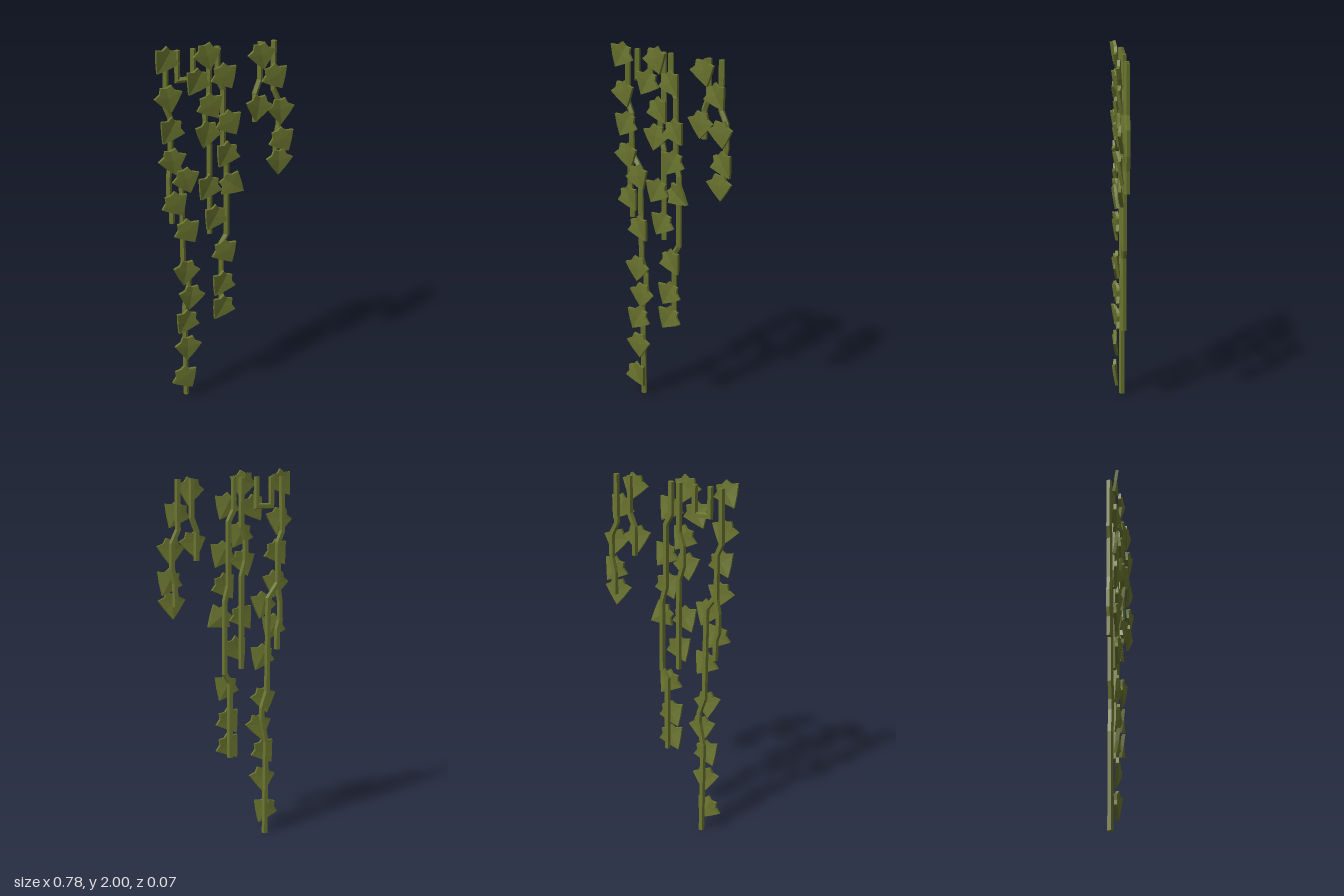
import * as THREE from 'three';

const vine = new THREE.MeshStandardMaterial({ color: 0x6b752f, flatShading: true });
vine.name = 'olive green';

function makeGeometry(pos, index) {
  const g = new THREE.BufferGeometry();
  g.setAttribute('position', new THREE.Float32BufferAttribute(pos, 3));
  g.setIndex(index);
  const flat = g.toNonIndexed();
  flat.computeVertexNormals();
  return flat;
}

// Five-sided stem with mitred corners, following [x, y] points
function stemGeometry(points) {
  const R = 0.0165, Z = -0.0265, N = 5, pos = [], idx = [];
  const p = points.map(([x, y]) => new THREE.Vector2(x, y));
  p.forEach((c, i) => {
    const a = p[Math.max(i - 1, 0)], b = p[Math.min(i + 1, p.length - 1)];
    const d1 = (i ? c.clone().sub(a) : b.clone().sub(c)).normalize();
    const d2 = (i < p.length - 1 ? b.clone().sub(c) : d1.clone()).normalize();
    const t = d1.clone().add(d2).normalize();
    const k = R / Math.max(t.dot(d1), 0.5);
    for (let j = 0; j < N; j++) {
      const q = Math.PI / 2 + (j / N) * Math.PI * 2;
      // side vector is the tangent turned a quarter in the xy plane
      pos.push(c.x - t.y * k * Math.cos(q), c.y + t.x * k * Math.cos(q), Z + R * Math.sin(q));
    }
  });
  for (let i = 0; i < p.length - 1; i++) {
    for (let j = 0; j < N; j++) {
      const a = i * N + j, b = i * N + (j + 1) % N;
      idx.push(a, b, a + N, b, b + N, a + N);
    }
  }
  // end caps
  const e = (p.length - 1) * N;
  for (let j = 1; j < N - 1; j++) idx.push(0, j + 1, j, e, e + j, e + j + 1);
  return makeGeometry(pos, idx);
}

// Lobed ivy leaf, tip down, cupped towards the front
function leafGeometry() {
  const half = [[0.03, 0.066], [0.042, 0.036], [0.077, 0.02], [0.04, -0.032]];
  const ring = [[0, 0.056], ...half, [0, -0.08], ...half.map(([x, y]) => [-x, y]).reverse()];
  const n = ring.length, pos = [], idx = [], T = 0.016;
  for (const z of [T, 0]) {
    pos.push(0, 0.005, z);
    for (const [x, y] of ring) pos.push(x, y, z + 0.14 * Math.abs(x) - 0.04 * Math.abs(y));
  }
  for (let i = 0; i < n; i++) {
    const a = 1 + i, b = 1 + (i + 1) % n, m = n + 1;
    idx.push(0, b, a, m, m + a, m + b, a, b, m + a, b, m + b, m + a);
  }
  return makeGeometry(pos, idx);
}

// Stem paths
const stems = [
  [[-0.317, 1.96], [-0.322, 1.67], [-0.297, 1.61], [-0.297, 1.37], [-0.31, 1.29], [-0.31, 1.19], [-0.295, 1.14], [-0.295, 1.03]],
  [[-0.297, 1.39], [-0.24, 1.31], [-0.235, 0.8], [-0.205, 0.71], [-0.205, 0.65], [-0.23, 0.52], [-0.225, 0]],
  [[-0.255, 1.96], [-0.255, 1.805], [-0.168, 1.805], [-0.168, 1.96]],
  [[-0.08, 1.96], [-0.08, 1.7], [-0.103, 1.63], [-0.103, 1.52], [-0.08, 1.44], [-0.08, 0.94]],
  [[-0.034, 1.96], [-0.034, 1.79], [-0.003, 1.73], [-0.003, 1.39], [0.018, 1.31], [0.018, 0.92], [-0.013, 0.87], [-0.013, 0.455]],
  [[0.207, 1.96], [0.207, 1.76], [0.18, 1.69], [0.18, 1.535]],
  [[0.285, 1.96], [0.285, 1.7], [0.318, 1.63], [0.318, 1.5], [0.302, 1.42], [0.302, 1.3]],
];

// Leaf positions and turns: x, y, turn of the tip in degrees (positive is towards +x)
const leaves = [
  [-0.334, 1.925, -32], [-0.318, 1.725, 12], [-0.31, 1.555, -30], [-0.3, 1.388, 12],
  [-0.225, 1.275, 18], [-0.285, 1.15, 30], [-0.218, 0.988, 30], [-0.234, 0.755, -8],
  [-0.205, 0.605, -8], [-0.236, 0.462, -30], [-0.228, 0.305, 0], [-0.241, 0.125, 30],
  [-0.165, 1.797, -30], [-0.104, 1.925, 14], [-0.085, 1.66, 30], [-0.107, 1.513, -14],
  [-0.103, 1.218, -30], [-0.068, 1.043, -30],
  [-0.006, 1.81, 30], [0.02, 1.558, 30], [0.001, 1.388, -30], [0.037, 1.218, 55],
  [-0.003, 0.838, 30], [-0.024, 0.653, -30], [-0.024, 0.512, -32],
  [0.2, 1.898, 12], [0.184, 1.622, -8], [0.281, 1.778, 30], [0.311, 1.59, 4],
  [0.325, 1.428, 30], [0.306, 1.31, 0],
];

export function createModel() {
  const model = new THREE.Group();
  model.name = 'hangingIvy';

  stems.forEach((path, i) => {
    const stem = new THREE.Mesh(stemGeometry(path), vine);
    stem.name = `stem${i + 1}`;
    model.add(stem);
  });

  const leafShape = leafGeometry();
  leaves.forEach(([x, y, turn], i) => {
    const leaf = new THREE.Mesh(leafShape, vine);
    leaf.name = `leaf${i + 1}`;
    leaf.position.set(x, y, 0);
    leaf.rotation.set(0.05, -0.0025 * turn, THREE.MathUtils.degToRad(turn));
    model.add(leaf);
  });
  return model;
}
